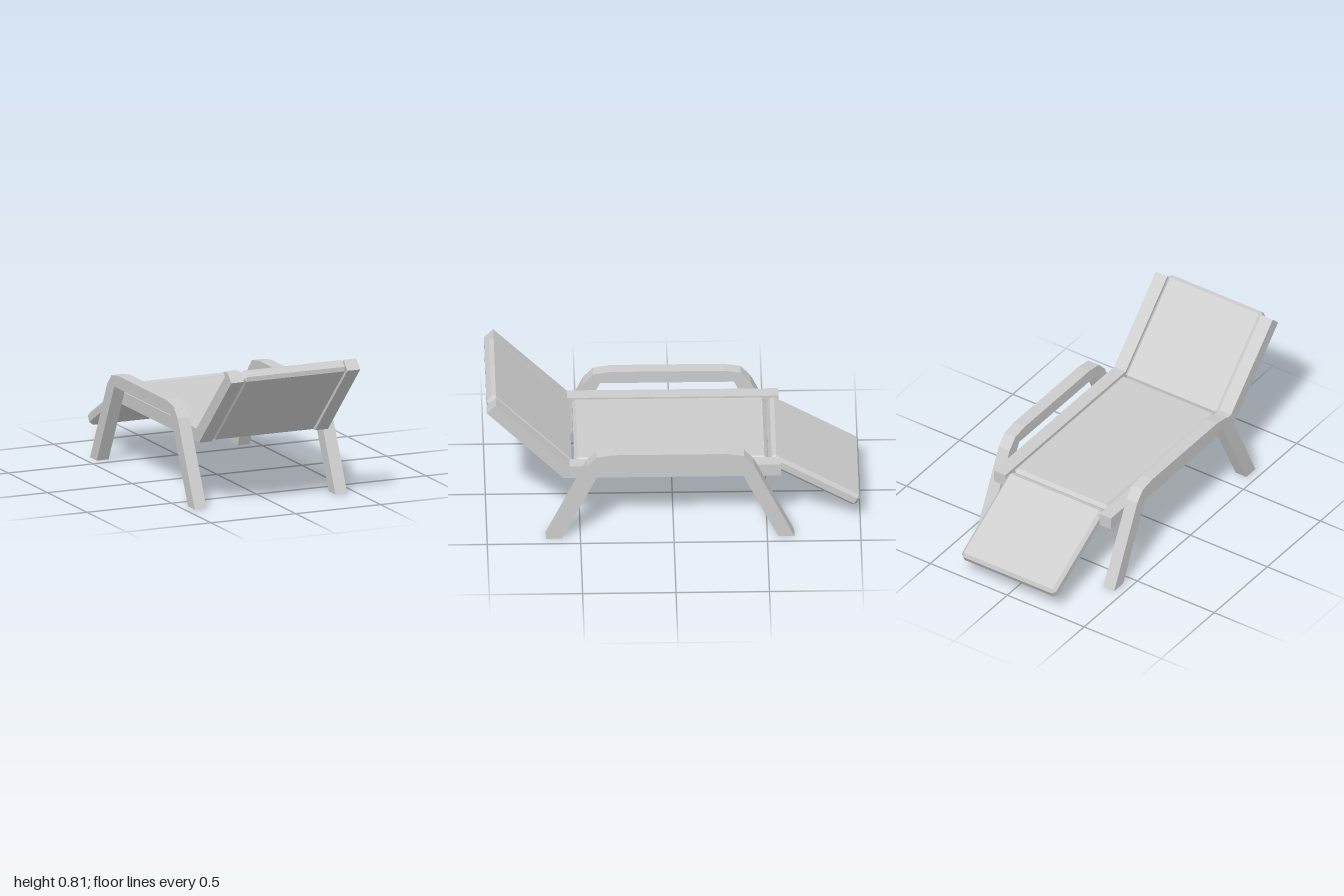
import * as THREE from 'three';
import { ConvexGeometry } from 'three/addons/geometries/ConvexGeometry.js';

const material = new THREE.MeshStandardMaterial({ color: 0xcccccc, flatShading: true });

// Flat beam: a [z, y] outline extruded across x from x0 to x1
function beam(name, outline, x0, x1) {
  const shape = new THREE.Shape(outline.map(([z, y]) => new THREE.Vector2(z, y)));
  const geometry = new THREE.ExtrudeGeometry(shape, { depth: x1 - x0, bevelEnabled: false });
  geometry.rotateY(-Math.PI / 2).translate(x1, 0, 0);
  const mesh = new THREE.Mesh(geometry, material);
  mesh.name = name;
  return mesh;
}

// Box with every edge chamfered by c
function cushion(name, width, thickness, length, c, y, z, tilt) {
  const half = [width / 2, thickness / 2, length / 2];
  const points = [];
  for (const sx of [-1, 1]) for (const sy of [-1, 1]) for (const sz of [-1, 1]) {
    for (let axis = 0; axis < 3; axis++) {
      const [x, py, pz] = half.map((h, i) => (i === axis ? h : h - c));
      points.push(new THREE.Vector3(sx * x, sy * py, sz * pz));
    }
  }
  const mesh = new THREE.Mesh(new ConvexGeometry(points), material);
  mesh.name = name;
  mesh.position.set(0, y, z);
  mesh.rotation.x = tilt;
  return mesh;
}

export function createModel() {
  const group = new THREE.Group();
  group.name = 'loungeChair';

  // Side rail: level under the seat, then bent up along the backrest
  const railOutline = [
    [-0.575, 0.34], [0.59, 0.34], [1.0, 0.755], [0.95, 0.805], [0.557, 0.411], [-0.575, 0.411],
  ];
  // Armrest and its two splayed legs in one continuous frame
  const armOutline = [
    [0.6, 0], [0.685, 0], [0.468, 0.452], [0.415, 0.51], [0.325, 0.525],
    [-0.285, 0.525], [-0.375, 0.51], [-0.428, 0.452], [-0.645, 0], [-0.56, 0],
    [-0.338, 0.455], [0.378, 0.455],
  ];
  for (const [side, s] of [['left', 1], ['right', -1]]) {
    const span = (a, b) => (s > 0 ? [a, b] : [-b, -a]);
    group.add(beam(side + 'Rail', railOutline, ...span(0.305, 0.38)));
    group.add(beam(side + 'ArmrestAndLegs', armOutline, ...span(0.38, 0.45)));
  }

  // Three chamfered panels between the rails
  group.add(cushion('seat', 0.612, 0.072, 1.035, 0.018, 0.375, 0.0125, 0));
  group.add(cushion('backrest', 0.612, 0.072, 0.608, 0.018, 0.577, 0.7725, -Math.PI / 4));
  group.add(cushion('footrest', 0.612, 0.072, 0.547, 0.018, 0.254, -0.754, -Math.PI / 6));
  return group;
}
